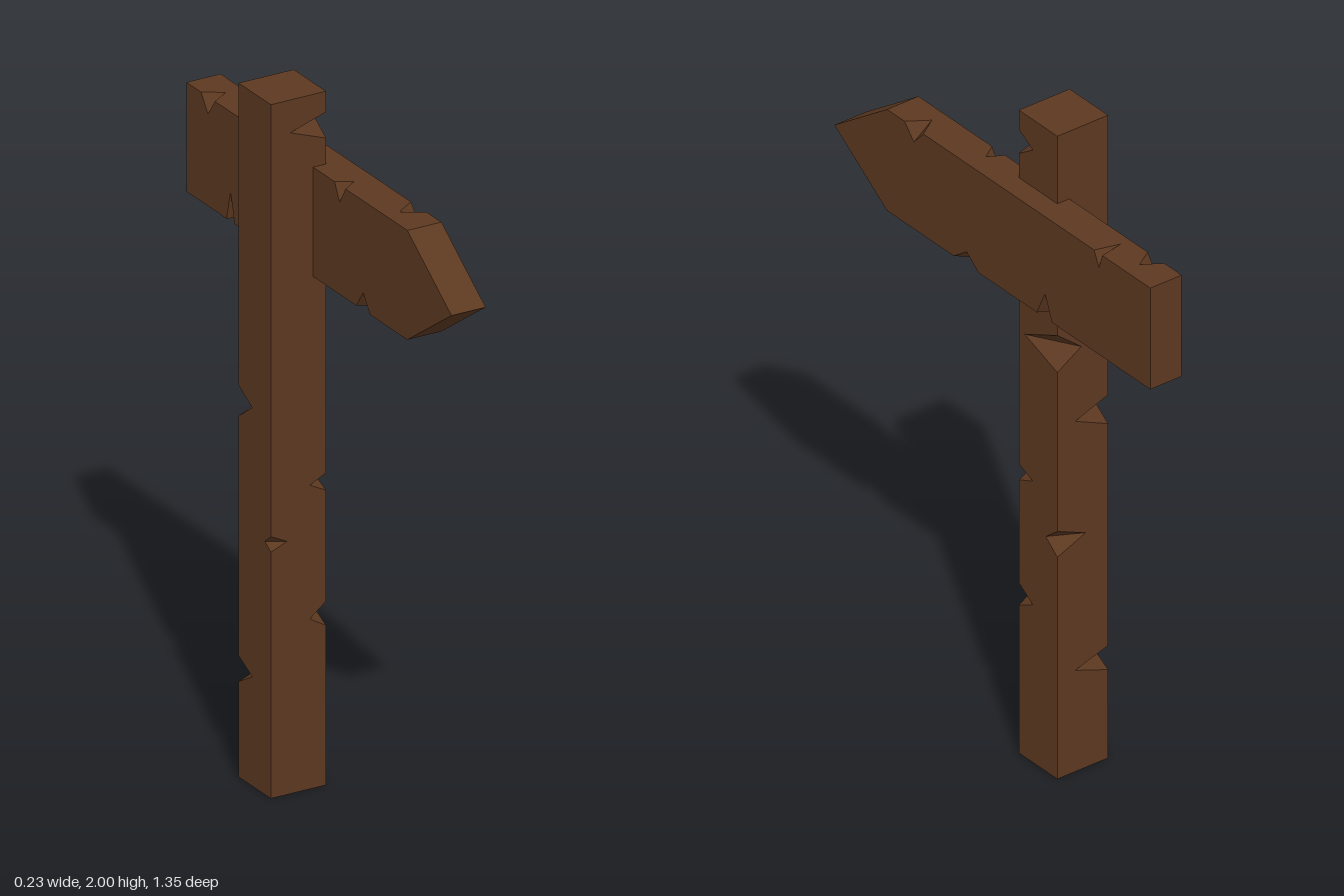
import * as THREE from 'three';

const V = (x, y, z) => new THREE.Vector3(x, y, z);
const wood = new THREE.MeshStandardMaterial({ color: 0x5c3820, flatShading: true });

// Nick in an edge: start and end lie on the edge, the two tips lie on the faces beside it
const postNick = (x, z, y0, ym, y1, tipX, tipZ) =>
  ({ start: V(x, y0, z), end: V(x, y1, z), tips: [V(tipX, ym, z), V(x, ym, tipZ)] });
const boardNick = (x, y, z0, zm, z1, tipX, tipY) =>
  ({ start: V(x, y, z0), end: V(x, y, z1), tips: [V(tipX, y, zm), V(x, tipY, zm)] });

// Convex [z, y] outline extruded from x0 to x1, with wedge nicks cut out of its edges
function nickedPlank(name, outline, x0, x1, nicks) {
  const out = [];
  const addTriangle = (a, b, c, outward) => {
    const n = b.clone().sub(a).cross(c.clone().sub(a));
    const corners = n.dot(outward) < 0 ? [a, c, b] : [a, b, c];
    for (const p of corners) out.push(p.x, p.y, p.z);
  };
  const onEdge = (p, a, b) =>
    new THREE.Line3(a, b).closestPointToPoint(p, true, V(0, 0, 0)).distanceTo(p) < 1e-5;

  const ends = [x0, x1].map((x) => outline.map(([z, y]) => V(x, y, z)));
  const faces = [...ends];
  outline.forEach((_, i) => {
    const j = (i + 1) % outline.length;
    faces.push([ends[0][i], ends[0][j], ends[1][j], ends[1][i]]);
  });
  const middle = (pts) => pts.reduce((s, p) => s.add(p), V(0, 0, 0)).divideScalar(pts.length);
  const centre = middle(ends.flat());

  for (const face of faces) {
    const normal = face[1].clone().sub(face[0]).cross(face[2].clone().sub(face[0])).normalize();
    if (normal.dot(middle(face).sub(centre)) < 0) normal.negate();
    // Walk the border, stepping in at every nick
    const loop = [];
    face.forEach((a, i) => {
      const b = face[(i + 1) % face.length];
      loop.push(a);
      nicks
        .filter((n) => onEdge(n.start, a, b) && onEdge(n.end, a, b))
        .sort((m, n) => m.start.distanceTo(a) - n.start.distanceTo(a))
        .forEach((n) => {
          const tip = n.tips.find((t) => Math.abs(t.clone().sub(a).dot(normal)) < 1e-5);
          const pair = n.start.distanceTo(a) < n.end.distanceTo(a) ? [n.start, n.end] : [n.end, n.start];
          loop.push(pair[0], tip, pair[1]);
        });
    });
    // Flatten along the face normal to triangulate
    const turn = new THREE.Quaternion().setFromUnitVectors(normal, V(0, 0, 1));
    const flat = loop.map((p) => {
      const q = p.clone().applyQuaternion(turn);
      return new THREE.Vector2(q.x, q.y);
    });
    // Triangulation expects a counter-clockwise border
    if (THREE.ShapeUtils.isClockWise(flat)) { flat.reverse(); loop.reverse(); }
    for (const [a, b, c] of THREE.ShapeUtils.triangulateShape(flat, [])) {
      addTriangle(loop[a], loop[b], loop[c], normal);
    }
  }
  // Inner walls of the nicks
  for (const { start, end, tips } of nicks) {
    const along = end.clone().sub(start);
    addTriangle(start, tips[0], tips[1], along);
    addTriangle(end, tips[0], tips[1], along.clone().negate());
  }

  const geometry = new THREE.BufferGeometry();
  geometry.setAttribute('position', new THREE.Float32BufferAttribute(out, 3));
  geometry.computeVertexNormals();
  const mesh = new THREE.Mesh(geometry, wood);
  mesh.name = name;
  return mesh;
}

export function createModel() {
  const group = new THREE.Group();
  group.name = 'signpost';

  // Square upright post
  const L = 0.05, R = -0.12, F = -0.03, B = -0.195;
  group.add(nickedPlank('post', [[B, 0], [F, 0], [F, 2], [B, 2]], R, L, [
    postNick(L, F, 1.865, 1.905, 1.94, -0.06, -0.09),
    postNick(L, F, 0.85, 0.875, 0.9, 0, -0.09),
    postNick(L, F, 0.46, 0.49, 0.53, 0, -0.09),
    postNick(R, F, 0.71, 0.73, 0.755, -0.07, -0.06),
    postNick(L, B, 1.265, 1.315, 1.38, -0.03, -0.055),
    postNick(L, B, 0.69, 0.73, 0.77, -0.045, -0.145),
    postNick(R, B, 1.04, 1.09, 1.13, -0.01, -0.125),
    postNick(R, B, 0.275, 0.315, 0.35, -0.01, -0.125),
  ]));

  // Arrow board pointing to the front
  const I = 0.01, O = 0.115, T = 1.79, D = 1.475;
  const arrow = [[-0.675, D], [0.45, D], [0.675, 1.63], [0.45, T], [-0.675, T]];
  group.add(nickedPlank('arrowBoard', arrow, I, O, [
    boardNick(I, T, -0.6, -0.565, -0.53, 0.065, 1.74),
    boardNick(I, T, 0.08, 0.105, 0.135, 0.055, 1.74),
    boardNick(O, T, -0.47, -0.455, -0.435, 0.04, 1.745),
    boardNick(O, T, 0.295, 0.335, 0.375, 0.055, 1.745),
    boardNick(O, D, 0.06, 0.11, 0.165, 0.06, 1.515),
    boardNick(O, D, -0.255, -0.225, -0.19, 0.06, 1.55),
    boardNick(I, D, -0.47, -0.45, -0.43, 0.06, 1.56),
    boardNick(I, D, 0.19, 0.225, 0.26, 0.06, 1.525),
  ]));
  return group;
}
